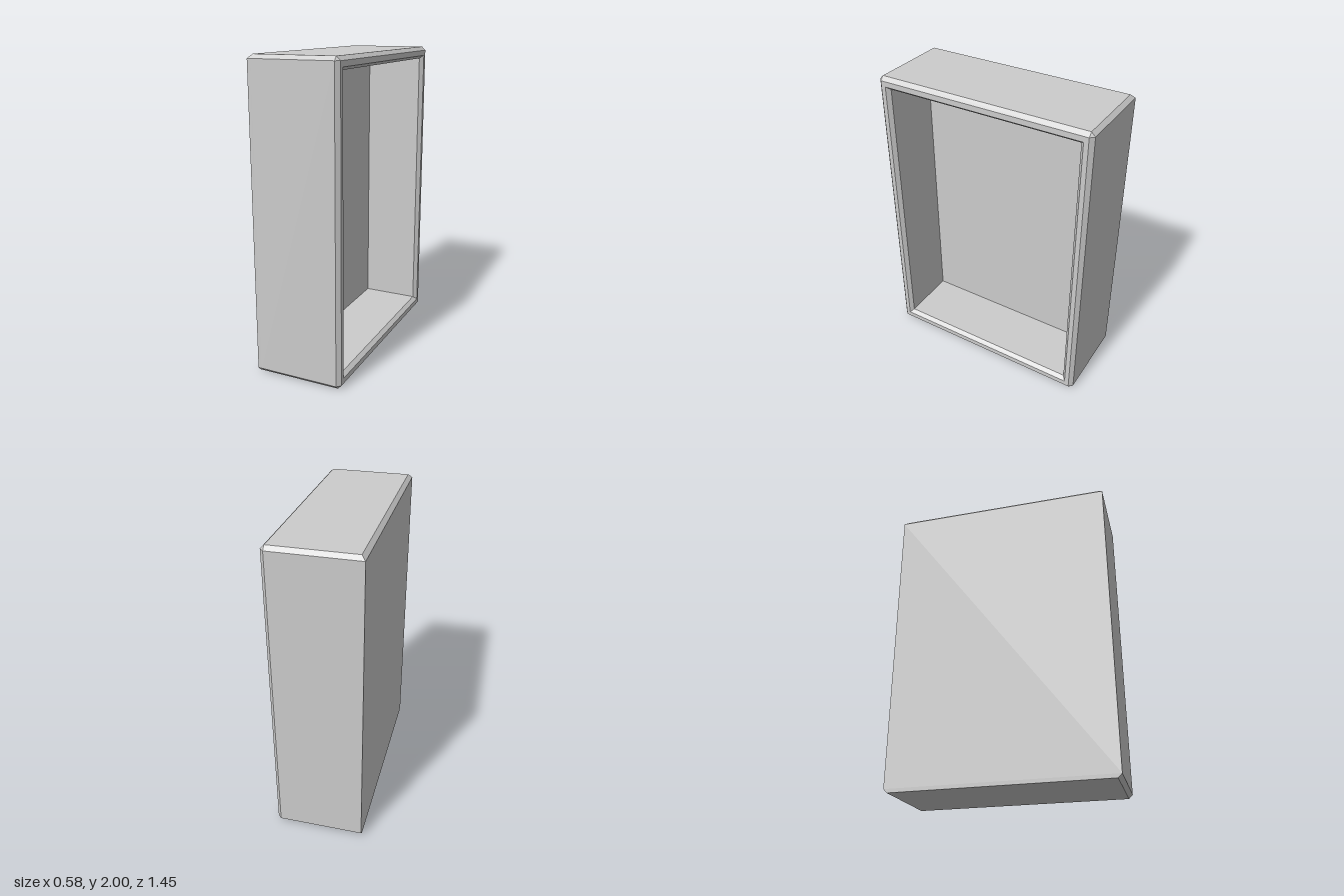
import * as THREE from 'three';

const H = 2, Z = 0.725, X = 0.29, C = 0.025; // height, half depth, half width, bevel

// Cross-section in the z/y plane at one x, as 8 corners with an optional corner cut
function section(x, halfZ, y0, y1, cut = 0) {
  const a = halfZ - cut;
  return [
    [halfZ, y0 + cut], [halfZ, y1 - cut], [a, y1], [-a, y1],
    [-halfZ, y1 - cut], [-halfZ, y0 + cut], [-a, y0], [a, y0],
  ].map(([z, y]) => new THREE.Vector3(x, y, z));
}

// Flat-shaded skin through the sections, with optional end caps
function loft(name, sections, capStart, capEnd) {
  const pos = [];
  const tri = (a, b, c) => {
    const n = b.clone().sub(a).cross(c.clone().sub(a));
    if (n.length() > 1e-8) for (const p of [a, b, c]) pos.push(p.x, p.y, p.z);
  };
  for (let s = 0; s < sections.length - 1; s++) {
    const p = sections[s], q = sections[s + 1];
    for (let i = 0; i < 8; i++) {
      const j = (i + 1) % 8;
      tri(p[i], q[i], q[j]);
      tri(p[i], q[j], p[j]);
    }
  }
  const first = sections[0], last = sections[sections.length - 1];
  for (let i = 1; i < 7; i++) {
    if (capStart) tri(first[0], first[i], first[i + 1]);
    if (capEnd) tri(last[0], last[i + 1], last[i]);
  }
  const geo = new THREE.BufferGeometry();
  geo.setAttribute('position', new THREE.Float32BufferAttribute(pos, 3));
  geo.computeVertexNormals();
  const mesh = new THREE.Mesh(geo, new THREE.MeshStandardMaterial({ color: 0xcccccc, flatShading: true }));
  mesh.name = name;
  return mesh;
}

export function createModel() {
  const group = new THREE.Group();
  group.name = 'openBox';

  // Closed back: sharp upright and bottom edges, bevelled top edge
  const back = section(-X, Z, 0, H, C);
  back[2].set(-X, H - C, Z);
  back[3].set(-X, H - C, -Z);

  const rimOuter = section(X, Z - C, C, H - C);
  const rimInner = section(X, 0.67, 0.06, H - 0.06);
  const mouth = section(X - C, 0.647, 0.083, H - 0.08);
  const floor = section(-0.12, 0.647, 0.083, H - 0.08);

  group.add(
    loft('outerShell', [back, section(-X + C, Z, 0, H, C), section(X - C, Z, 0, H, C), rimOuter], true, false),
    loft('rim', [rimOuter, rimInner, mouth], false, false),
    loft('recess', [mouth, floor], false, true),
  );
  return group;
}
